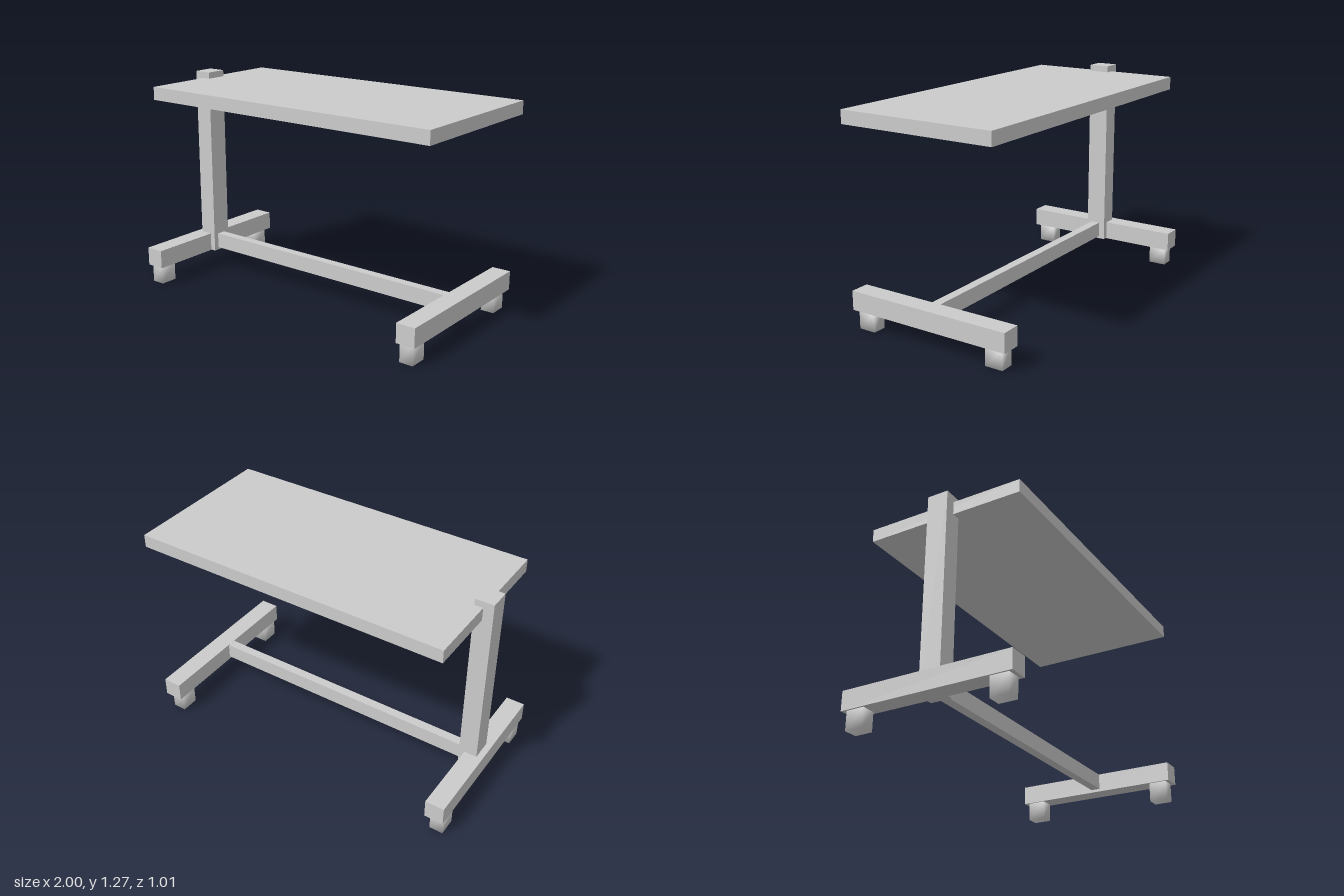
import * as THREE from 'three';
import { mergeVertices } from 'three/addons/utils/BufferGeometryUtils.js';

const material = new THREE.MeshStandardMaterial({ color: 0xcccccc });

// Box geometry placed by its extents on each axis
function boxBetween([x0, x1], [y0, y1], [z0, z1]) {
  return new THREE.BoxGeometry(x1 - x0, y1 - y0, z1 - z0)
    .translate((x0 + x1) / 2, (y0 + y1) / 2, (z0 + z1) / 2);
}

// Share the corners so the shading runs smoothly round the block
function softened(geometry) {
  geometry.deleteAttribute('uv');
  geometry.deleteAttribute('normal');
  const merged = mergeVertices(geometry);
  merged.computeVertexNormals();
  return merged;
}

export function createModel() {
  const group = new THREE.Group();
  const add = (name, geometry) => {
    const mesh = new THREE.Mesh(geometry, material);
    mesh.name = name;
    group.add(mesh);
  };

  // Table top carried on one side by the post
  add('tableTop', boxBetween([-0.903, 1], [1.16, 1.237], [-0.468, 0.482]));
  add('post', boxBetween([-0.963, -0.853], [0.115, 1.275], [-0.053, 0.072]));

  // Base: two feet joined by a thin rail
  add('crossRail', boxBetween([-0.885, 0.86], [0.13, 0.224], [-0.015, 0.04]));
  const feet = [
    { side: 'right', x: [-1, -0.887], caster: [-0.99, -0.909] },
    { side: 'left', x: [0.847, 0.96], caster: [0.856, 0.937] },
  ];
  for (const { side, x, caster } of feet) {
    add(`${side}Foot`, boxBetween(x, [0.113, 0.225], [-0.505, 0.505]));

    // Soft-shaded caster blocks under each end
    add(`${side}FrontCaster`, softened(boxBetween(caster, [0, 0.115], [0.376, 0.482])));
    add(`${side}BackCaster`, softened(boxBetween(caster, [0.003, 0.115], [-0.474, -0.368])));
  }
  return group;
}
